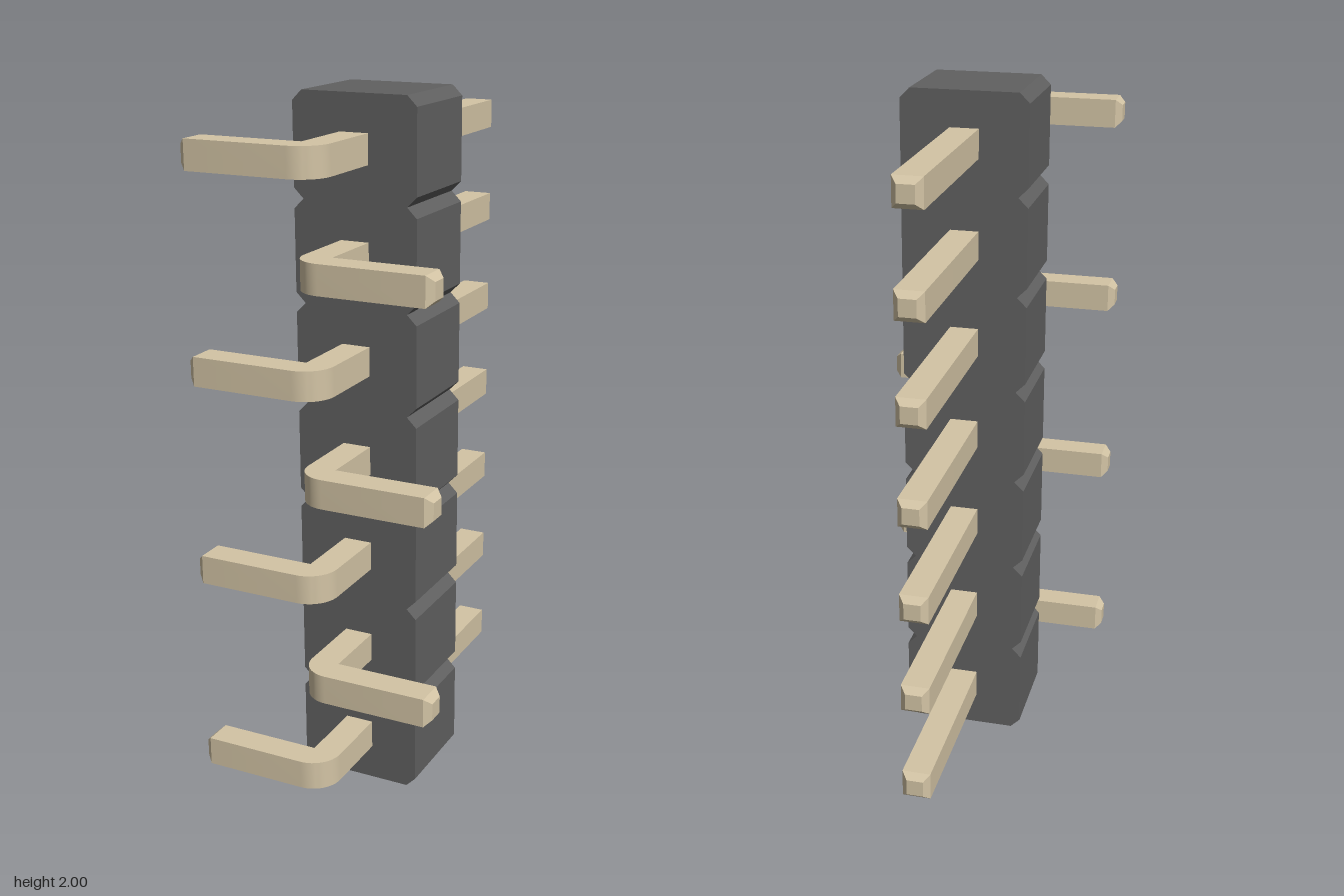
import * as THREE from 'three';
import { mergeGeometries, toCreasedNormals } from 'three/addons/utils/BufferGeometryUtils.js';

const COUNT = 7;
const PITCH = 2 / COUNT;
const HALF_WIDTH = 0.181, CHAMFER = 0.028, DEPTH = 0.285; // housing
const W = 0.041;           // half thickness of a pin
const REACH = 0.57;        // pin extent in z, front and back
const LEG = 0.356;         // sideways reach of the bent leg
const TIP = 0.019, TIP_W = 0.024;

// Notched outline: every cell is a rectangle with chamfered corners
function housingGeometry() {
  const right = [];
  for (let i = 0; i < COUNT; i++) {
    const y0 = i * PITCH, y1 = y0 + PITCH;
    right.push([HALF_WIDTH - CHAMFER, y0], [HALF_WIDTH, y0 + CHAMFER], [HALF_WIDTH, y1 - CHAMFER]);
  }
  right.push([HALF_WIDTH - CHAMFER, 2]);
  const left = right.map(([x, y]) => [-x, y]).reverse();
  const shape = new THREE.Shape([...right, ...left].map(([x, y]) => new THREE.Vector2(x, y)));
  return toCreasedNormals(new THREE.ExtrudeGeometry(shape, { depth: DEPTH, bevelEnabled: false }), 0.5);
}

// Square tapered end, pointing along +y from its base at the origin
function tipGeometry() {
  return new THREE.CylinderGeometry(TIP_W * Math.SQRT2, W * Math.SQRT2, TIP, 4)
    .rotateY(Math.PI / 4).translate(0, TIP / 2, 0);
}

// Straight pin through the housing whose front leg bends towards side (-1 or 1)
function pinGeometry(side) {
  const inner = REACH - 2 * W, back = -REACH + TIP, end = LEG - TIP;
  const points = [[-W, back], [-W, inner]];
  const steps = 12;
  for (let i = 1; i <= steps; i++) { // rounded outer corner, sharp inner corner
    const a = (i / steps) * Math.PI / 2;
    points.push([W - 2 * W * Math.cos(a), inner + 2 * W * Math.sin(a)]);
  }
  points.push([end, REACH], [end, inner], [W, inner], [W, back]);
  const shape = new THREE.Shape(points.map(([x, z]) => new THREE.Vector2(x * side, z)));
  const bar = new THREE.ExtrudeGeometry(shape, { depth: 2 * W, bevelEnabled: false })
    .rotateX(Math.PI / 2).translate(0, W, 0);
  const backTip = tipGeometry().rotateX(-Math.PI / 2).translate(0, 0, back);
  const legTip = tipGeometry().rotateZ(-side * Math.PI / 2).translate(side * end, 0, REACH - W);
  return mergeGeometries([bar, backTip, legTip].map((g) => toCreasedNormals(g, 0.5)));
}

export function createModel() {
  const model = new THREE.Group();
  model.name = 'pinHeader';
  const plastic = new THREE.MeshStandardMaterial({ color: 0x606060 });
  const metal = new THREE.MeshStandardMaterial({ color: 0xd3c4a5 });

  const housing = new THREE.Mesh(housingGeometry(), plastic);
  housing.name = 'housing';
  model.add(housing);

  // Pins alternate sides from bottom to top
  const geometries = [pinGeometry(-1), pinGeometry(1)];
  for (let i = 0; i < COUNT; i++) {
    const pin = new THREE.Mesh(geometries[i % 2], metal);
    pin.name = `pin${i + 1}`;
    pin.position.y = (i + 0.5) * PITCH;
    model.add(pin);
  }
  return model;
}
